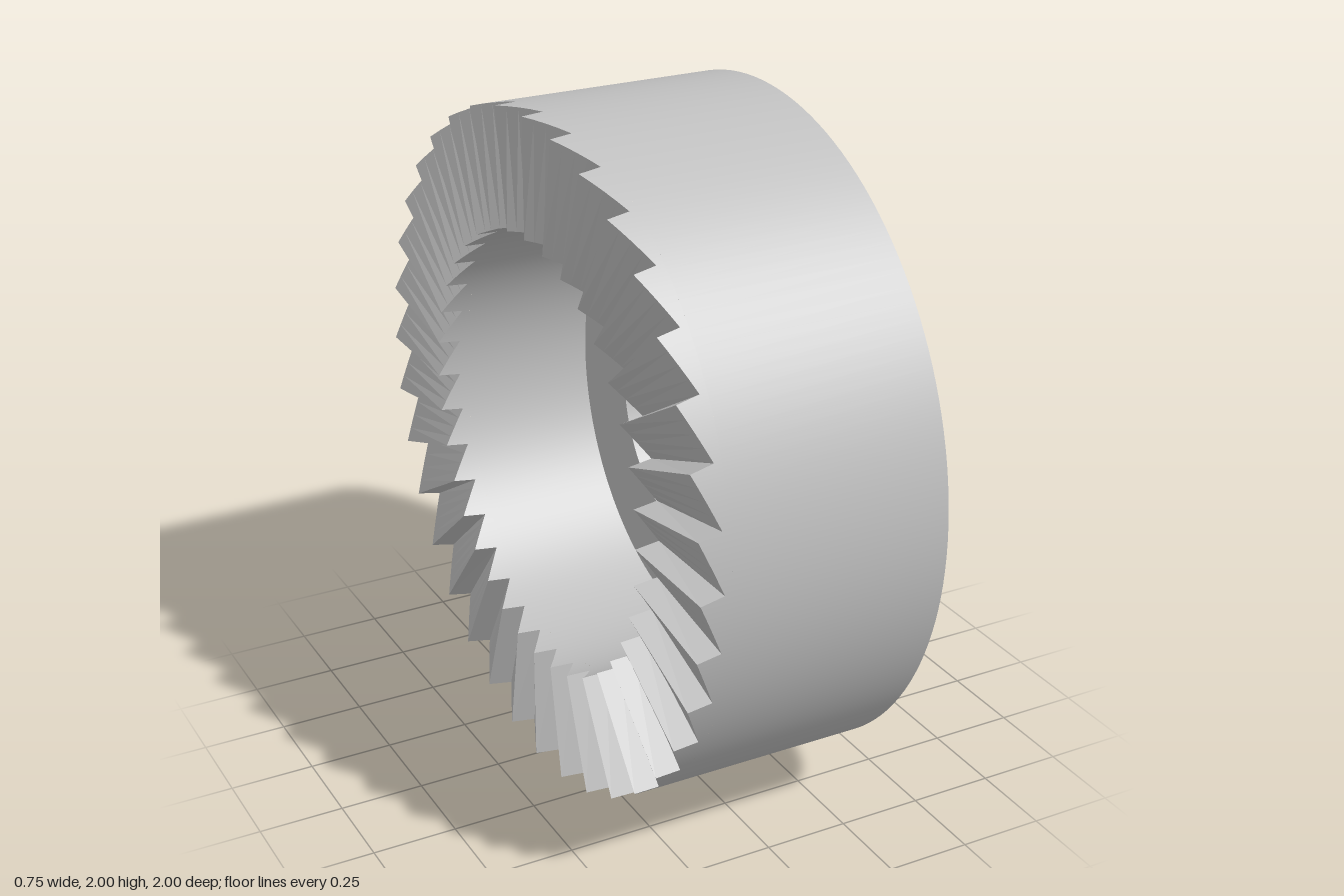
import * as THREE from 'three';
import { mergeGeometries } from 'three/addons/utils/BufferGeometryUtils.js';

const OUTER = 1, BORE = 0.65, HOLE = 0.38;              // radii
const END = 0.373, FLOOR = 0.13, BASE = -0.28;          // stations along the axis
const VALLEY = -0.303, TIP = -0.373;
const TEETH = 36, PITCH = (Math.PI * 2) / TEETH, STEEP = PITCH * 0.08, STEPS = 4;

// Point on the ring: the axis runs along x
const ringPoint = (angle, radius, x) => [x, radius * Math.sin(angle), radius * Math.cos(angle)];

function quad(list, a, b, c, d) {
  list.push(...a, ...b, ...c, ...a, ...c, ...d);
}

// Plain turned body; each profile segment is its own lathe so edges stay sharp
function bodyGeometry() {
  const profile = [
    [OUTER, BASE], [OUTER, END], [HOLE, END], [HOLE, FLOOR], [BORE, FLOOR], [BORE, BASE],
  ].map(([r, x]) => new THREE.Vector2(r, x));
  const parts = [];
  for (let i = 0; i < profile.length - 1; i++) {
    parts.push(new THREE.LatheGeometry([profile[i], profile[i + 1]], TEETH * STEPS));
  }
  return mergeGeometries(parts).rotateZ(-Math.PI / 2);
}

// Saw profile of one tooth: a steep drop, then a long ramp up to the next tip
function toothProfile(start) {
  const points = [[start, TIP]];
  for (let s = 0; s <= STEPS; s++) {
    const t = s / STEPS;
    points.push([start + STEEP + t * (PITCH - STEEP), VALLEY + t * (TIP - VALLEY)]);
  }
  return points;
}

function crownGeometries() {
  const faces = [], outer = [], inner = [];
  for (let i = 0; i < TEETH; i++) {
    const points = toothProfile(i * PITCH);
    for (let k = 0; k < points.length - 1; k++) {
      const [a0, x0] = points[k], [a1, x1] = points[k + 1];
      quad(faces, ringPoint(a0, OUTER, x0), ringPoint(a1, OUTER, x1),
        ringPoint(a1, BORE, x1), ringPoint(a0, BORE, x0));
      quad(outer, ringPoint(a0, OUTER, x0), ringPoint(a0, OUTER, BASE),
        ringPoint(a1, OUTER, BASE), ringPoint(a1, OUTER, x1));
      quad(inner, ringPoint(a0, BORE, x0), ringPoint(a1, BORE, x1),
        ringPoint(a1, BORE, BASE), ringPoint(a0, BORE, BASE));
    }
  }
  // Flat tooth faces, smooth radial normals on the walls
  const make = (positions, sign) => {
    const geometry = new THREE.BufferGeometry();
    geometry.setAttribute('position', new THREE.Float32BufferAttribute(positions, 3));
    if (!sign) {
      geometry.computeVertexNormals();
      return geometry;
    }
    const normals = [];
    for (let i = 0; i < positions.length; i += 3) {
      const y = positions[i + 1], z = positions[i + 2], r = Math.hypot(y, z);
      normals.push(0, (sign * y) / r, (sign * z) / r);
    }
    geometry.setAttribute('normal', new THREE.Float32BufferAttribute(normals, 3));
    return geometry;
  };
  return { toothFaces: make(faces, 0), crownOuterWall: make(outer, 1), crownInnerWall: make(inner, -1) };
}

export function createModel() {
  const steel = new THREE.MeshStandardMaterial({ color: 0xc0c0c0 });
  steel.name = 'steel grey';

  const model = new THREE.Group();
  model.name = 'ratchetRing';
  const add = (name, geometry) => {
    const mesh = new THREE.Mesh(geometry, steel);
    mesh.name = name;
    mesh.position.y = OUTER;
    model.add(mesh);
  };

  add('ringBody', bodyGeometry());
  for (const [name, geometry] of Object.entries(crownGeometries())) add(name, geometry);
  return model;
}
